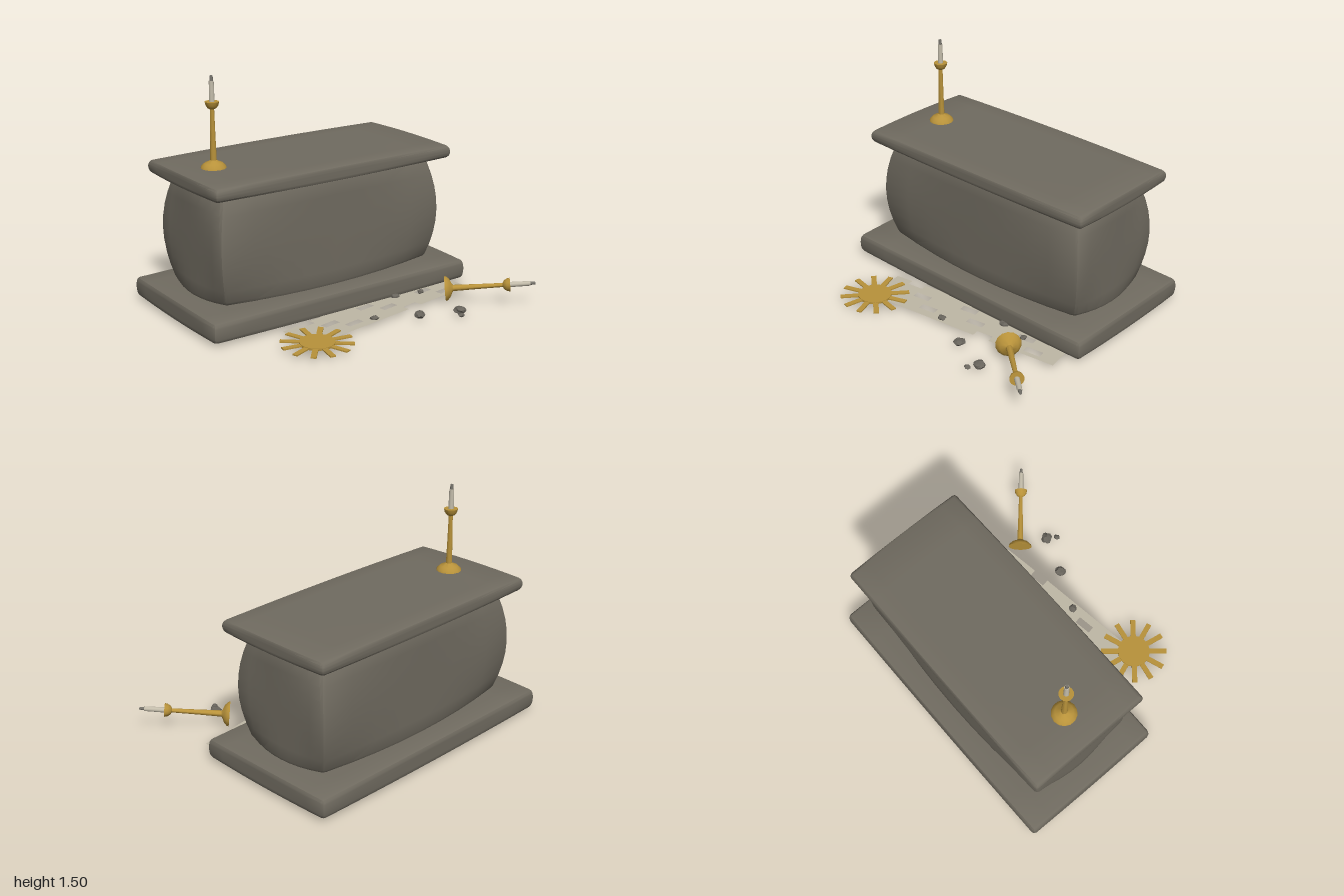
import * as THREE from 'three';
import { mergeVertices, toCreasedNormals } from 'three/addons/utils/BufferGeometryUtils.js';

const material = (name, color, side = THREE.FrontSide) => {
  const m = new THREE.MeshStandardMaterial({ color, side });
  m.name = name;
  return m;
};

// Bevelled block whose eight corners are worn inwards by `wear`
function wornBlock(min, max, bevel, wear) {
  const n = 10;
  const geo = new THREE.BoxGeometry(2, 2, 2, n, n, n);
  const lo = new THREE.Vector3(...min), hi = new THREE.Vector3(...max);
  const centre = lo.clone().add(hi).multiplyScalar(0.5);
  const half = hi.clone().sub(lo).multiplyScalar(0.5);
  const pos = geo.attributes.position;
  const p = new THREE.Vector3(), core = new THREE.Vector3(), t = new THREE.Vector3();
  // the outermost grid row becomes the bevel
  const place = (s, h) => {
    const i = Math.round((s + 1) * n / 2);
    if (i === 0) return -h;
    if (i === n) return h;
    return (h - bevel) * ((i - 1) / (n - 2) * 2 - 1);
  };
  for (let i = 0; i < pos.count; i++) {
    p.set(place(pos.getX(i), half.x), place(pos.getY(i), half.y), place(pos.getZ(i), half.z));
    core.set(
      THREE.MathUtils.clamp(p.x, bevel - half.x, half.x - bevel),
      THREE.MathUtils.clamp(p.y, bevel - half.y, half.y - bevel),
      THREE.MathUtils.clamp(p.z, bevel - half.z, half.z - bevel));
    p.sub(core).setLength(bevel).add(core);
    t.copy(p).divide(half);
    const a = t.x * t.x, b = t.y * t.y, c = t.z * t.z;
    p.x -= t.x * wear[0] * b * c;
    p.y -= t.y * wear[1] * a * c;
    p.z -= t.z * wear[2] * a * b;
    pos.setXYZ(i, p.x + centre.x, p.y + centre.y, p.z + centre.z);
  }
  geo.deleteAttribute('uv');
  geo.deleteAttribute('normal');
  return toCreasedNormals(mergeVertices(geo, 1e-5), 0.5);
}

export function createModel() {
  const model = new THREE.Group();
  model.name = 'ruinedAltar';
  const stone = material('stone', 0x706b60);
  const rubbleStone = material('rubble stone', 0x68645c);
  const brass = material('brass', 0xb8923a);
  const wax = material('wax', 0xc4bdab);
  const burnt = material('burnt wick', 0x77746c);
  const linen = material('linen', 0xbfb8a6, THREE.DoubleSide);

  const add = (parent, name, geo, mat, x = 0, y = 0, z = 0) => {
    const mesh = new THREE.Mesh(geo, mat);
    mesh.name = name;
    mesh.position.set(x, y, z);
    parent.add(mesh);
    return mesh;
  };

  // Altar blocks
  add(model, 'baseSlab', wornBlock([-1, 0.02, -0.8], [0.92, 0.157, 0.2], 0.022, [0.01, 0.005, 0.01]), stone);
  add(model, 'altarBody', wornBlock([-0.865, 0.15, -0.665], [0.785, 0.848, 0.07], 0.025, [0.06, 0.015, 0.06]), stone);
  add(model, 'topSlab', wornBlock([-0.92, 0.845, -0.717], [0.838, 0.937, 0.125], 0.018, [0.015, 0.004, 0.015]), stone);

  // Candlesticks, one standing and one fallen
  const profile = [
    [0, 0], [0.08, 0], [0.075, 0.013], [0.056, 0.031], [0.028, 0.043], [0.02, 0.05],
    [0.016, 0.2], [0.013, 0.362], [0.028, 0.371], [0.039, 0.388], [0.044, 0.409], [0, 0.409],
  ].map(([x, y]) => new THREE.Vector2(x, y));
  const stickGeo = toCreasedNormals(new THREE.LatheGeometry(profile, 14), 0.6);
  const candlestick = (name) => {
    const g = new THREE.Group();
    g.name = name;
    add(g, 'holder', stickGeo, brass);
    add(g, 'candle', new THREE.CylinderGeometry(0.015, 0.017, 0.13, 10), wax, 0, 0.47, 0);
    add(g, 'wick', new THREE.CylinderGeometry(0.009, 0.012, 0.034, 7), burnt, 0, 0.549, 0);
    model.add(g);
    return g;
  };
  candlestick('standingCandlestick').position.set(-0.685, 0.935, -0.3);
  const fallen = candlestick('fallenCandlestick');
  fallen.position.set(0.56, 0.1, 0.42);
  fallen.quaternion.setFromUnitVectors(
    new THREE.Vector3(0, 1, 0), new THREE.Vector3(0.43, 0.06, 0.38).normalize());

  // Sunburst ornament lying on the ground
  const sun = new THREE.Group();
  sun.name = 'sunburst';
  sun.position.set(-0.5, 0.038, 0.52);
  add(sun, 'sunDisc', new THREE.CylinderGeometry(0.107, 0.107, 0.014, 24), brass);
  for (let i = 0; i < 12; i++) {
    const a = THREE.MathUtils.degToRad(19.5 + i * 30);
    const ray = add(sun, 'sunRay', new THREE.BoxGeometry(0.14, 0.008, 0.034), brass,
      Math.cos(a) * 0.15, 0, -Math.sin(a) * 0.15);
    ray.rotation.y = a;
  }
  model.add(sun);

  // Torn cloth with rows of slots, given as [x, z]
  const toPoints = (list) => list.map(([x, z]) => new THREE.Vector2(x, -z));
  const cloth = new THREE.Shape(toPoints([
    [-0.565, 0.255], [-0.45, 0.235], [-0.445, 0.275], [-0.335, 0.258], [-0.342, 0.215], [-0.25, 0.2],
    [-0.25, 0.16], [0.79, 0.1], [0.83, 0.33], [0.38, 0.4], [0.37, 0.35], [0.26, 0.37],
    [0.268, 0.417], [-0.27, 0.492], [-0.53, 0.525],
  ]));
  const slots = [[-0.265, 0.322], [-0.14, 0.395], [0.065, 0.232], [0.19, 0.31], [0.535, 0.228], [0.655, 0.302]];
  for (const [x, z] of slots) {
    const corners = [[-1, -1], [1, -1], [1, 1], [-1, 1]].map(([u, v]) =>
      [x + u * 0.057 + v * 0.004, z - u * 0.009 + v * 0.023]);
    cloth.holes.push(new THREE.Path(toPoints(corners)));
  }
  add(model, 'tornCloth', new THREE.ShapeGeometry(cloth).rotateX(-Math.PI / 2), linen, 0, 0.028, 0);

  // Rubble: x, y, z, radius
  const rubble = [
    [0.33, 0.03, 0.2, 0.036], [0.515, 0.03, 0.232, 0.024], [0, 0.032, 0.415, 0.03], [0.26, 0.032, 0.53, 0.04],
    [0.51, 0.032, 0.62, 0.042], [0.47, 0.028, 0.68, 0.022], [0.25, 0.018, -0.14, 0.025],
  ];
  rubble.forEach(([x, y, z, r], k) => {
    const geo = new THREE.IcosahedronGeometry(1, 1);
    const p = geo.attributes.position;
    for (let i = 0; i < p.count; i++) {
      const s = 0.92 + 0.14 * Math.sin(p.getX(i) * 3 + p.getY(i) * 5 + p.getZ(i) * 4 + k * 2);
      p.setXYZ(i, p.getX(i) * s * r, p.getY(i) * s * r * 0.6, p.getZ(i) * s * r * 0.9);
    }
    const flat = toCreasedNormals(geo, 0.05);
    add(model, 'rubble', flat, rubbleStone, x, y, z).rotation.y = k * 1.3;
  });

  return model;
}
